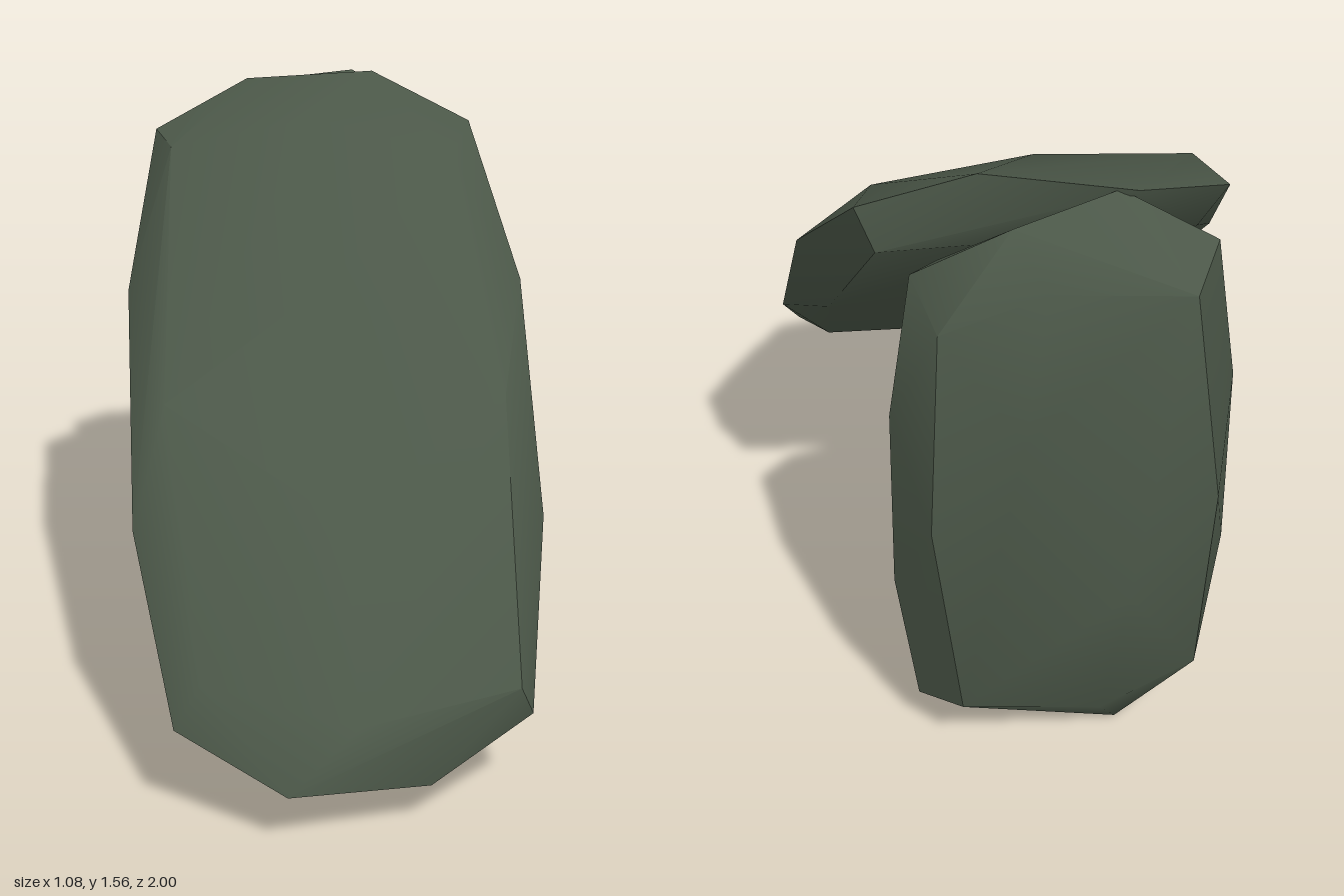
import * as THREE from 'three';
import { ConvexGeometry } from 'three/addons/geometries/ConvexGeometry.js';
import { toCreasedNormals } from 'three/addons/utils/BufferGeometryUtils.js';

// A quarter of the chiselled block: half-turns about the axes give the rest.
const QUARTER = [
  // rim
  [0.18, 1.095, 0.043], [0.45, 0.914, 0.023], [0.54, 0.367, 0.041],
  [-0.18, 1.095, -0.043], [-0.45, 0.914, -0.023], [-0.54, 0.367, -0.041],
  // broad face
  [-0.41, 0.83, 0.085], [0, 0.913, 0.112], [0.38, 0.785, 0.1],
  [0.45, 0, 0.108], [-0.45, 0, 0.108], [0, 0.36, 0.129],
];

function blockGeometry(matrix) {
  const points = [];
  for (const [x, y, z] of QUARTER) {
    const turns = [[x, y, z], [-x, -y, z], [x, -y, -z], [-x, y, -z]];
    for (const t of turns) {
      const p = new THREE.Vector3(...t).applyMatrix4(matrix);
      if (!points.some((q) => q.distanceTo(p) < 1e-4)) points.push(p);
    }
  }
  return toCreasedNormals(new ConvexGeometry(points), 0.75);
}

export function createModel() {
  const group = new THREE.Group();
  const stone = new THREE.MeshStandardMaterial({ color: 0x4b5748 });
  stone.name = 'dark green stone';

  const add = (name, matrix) => {
    const mesh = new THREE.Mesh(blockGeometry(matrix), stone);
    mesh.name = name;
    group.add(mesh);
  };

  // Large slab leaning back, its thickness sheared along the slope
  const along = new THREE.Vector3(0, 0.639, -0.769);
  const outward = new THREE.Vector3(0, 0.769, 0.639).addScaledVector(along, -0.55);
  add('leaningSlab', new THREE.Matrix4()
    .makeBasis(new THREE.Vector3(1, 0, 0), along, outward)
    .setPosition(0, 0.84, 0.11));

  // Upright pillar behind it, the same block turned a quarter and stretched
  add('uprightPillar', new THREE.Matrix4()
    .makeRotationY(Math.PI / 2)
    .scale(new THREE.Vector3(0.335, 0.694, 3.25))
    .setPosition(0, 0.76, -0.82));

  return group;
}
